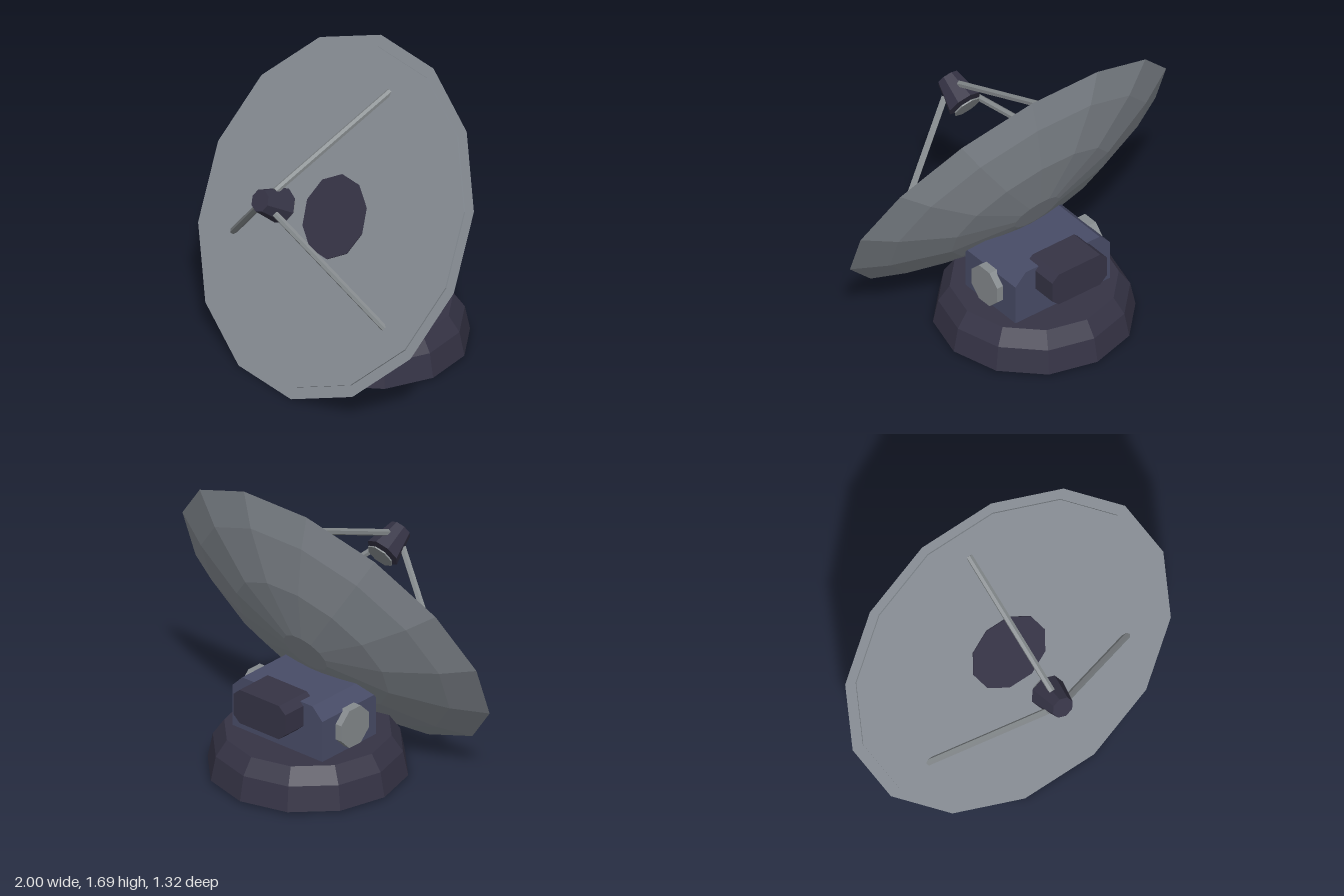
import * as THREE from 'three';

const flat = (name, color) => {
  const m = new THREE.MeshStandardMaterial({ color, flatShading: true });
  m.name = name;
  return m;
};

export function createModel() {
  const dishGrey = flat('dishGrey', 0x868c93);
  const metal = flat('metalGrey', 0x858a8d);
  const dark = flat('darkPurple', 0x353345);
  const blue = flat('slateBlue', 0x484c67);

  const model = new THREE.Group();
  model.name = 'satelliteDish';
  const add = (parent, name, geometry, material) => {
    const mesh = new THREE.Mesh(geometry, material);
    mesh.name = name;
    parent.add(mesh);
    return mesh;
  };
  const profile = (pts) => pts.map(([x, y]) => new THREE.Vector2(x, y));

  // Disc or cone along z, from z0 to z1, with a corner on the x axis
  const zCylinder = (r0, r1, z0, z1, sides) =>
    new THREE.CylinderGeometry(r1, r0, z1 - z0, sides, 1, false, Math.PI / 2)
      .rotateX(Math.PI / 2).translate(0, 0, (z0 + z1) / 2);

  // Prism along z with an outline given in x and y
  const prism = (pts, z0, z1) =>
    new THREE.ExtrudeGeometry(new THREE.Shape(profile(pts)), { depth: z1 - z0, bevelEnabled: false })
      .translate(0, 0, z0);

  // Base: twelve-sided with a sloped shoulder
  const base = new THREE.LatheGeometry(
    profile([[0, 0.02], [0.545, 0.02], [0.517, 0.16], [0.455, 0.25], [0, 0.25]]), 12);
  add(model, 'base', base, dark).position.z = -0.115;

  // Housing with chamfered top edges
  add(model, 'housing', prism([[-0.32, 0.24], [0.32, 0.24], [0.32, 0.49],
    [0.25, 0.56], [-0.25, 0.56], [-0.32, 0.49]], -0.36, 0.07), blue);

  // Motor box at the back
  add(model, 'motor', prism([[-0.14, 0.38], [0.14, 0.38], [0.185, 0.42], [0.185, 0.54],
    [0.14, 0.58], [-0.14, 0.58], [-0.185, 0.54], [-0.185, 0.42]], -0.505, -0.28), dark);

  // Pivot caps on both sides of the housing
  for (const side of [-1, 1]) {
    const cap = new THREE.CylinderGeometry(0.12, 0.12, 0.06, 8, 1, false, Math.PI / 8)
      .rotateZ(Math.PI / 2);
    add(model, side > 0 ? 'leftPivotCap' : 'rightPivotCap', cap, metal)
      .position.set(side * 0.33, 0.39, -0.142);
  }

  // Tilted reflector assembly, built facing +z around its rim centre
  const dish = new THREE.Group();
  dish.name = 'dishAssembly';
  dish.position.set(0, 0.85, 0.11);
  dish.rotation.x = -Math.PI / 6;
  model.add(dish);

  const bowl = new THREE.LatheGeometry(
    profile([[0, -0.284], [0.14, -0.284], [0.495, -0.217], [0.81, -0.1], [1, 0], [0, 0]]),
    14, Math.PI / 2).rotateX(Math.PI / 2);
  add(dish, 'bowl', bowl, dishGrey);
  add(dish, 'innerFace', zCylinder(0.936, 0.936, -0.005, 0.008, 14), dishGrey);
  add(dish, 'centreDisc', zCylinder(0.23, 0.23, 0.004, 0.014, 10), dark);

  // Feed horn with a small plate behind it
  add(dish, 'feedHorn', zCylinder(0.1, 0.063, 0.43, 0.6, 8), dark);
  add(dish, 'feedPlate', zCylinder(0.08, 0.08, 0.404, 0.412, 8), metal);

  // Three struts from the bowl to the feed horn
  for (let i = 0; i < 3; i++) {
    const a = Math.PI / 2 + (i * Math.PI * 2) / 3;
    const at = (r, z) => new THREE.Vector3(r * Math.cos(a), r * Math.sin(a), z);
    const from = at(0.74, 0.0), to = at(0.07, 0.52);
    const dir = to.clone().sub(from);
    const strut = add(dish, 'strut' + (i + 1),
      new THREE.CylinderGeometry(0.019, 0.019, dir.length(), 6), metal);
    strut.position.copy(from).add(to).multiplyScalar(0.5);
    strut.quaternion.setFromUnitVectors(new THREE.Vector3(0, 1, 0), dir.normalize());
  }

  return model;
}
